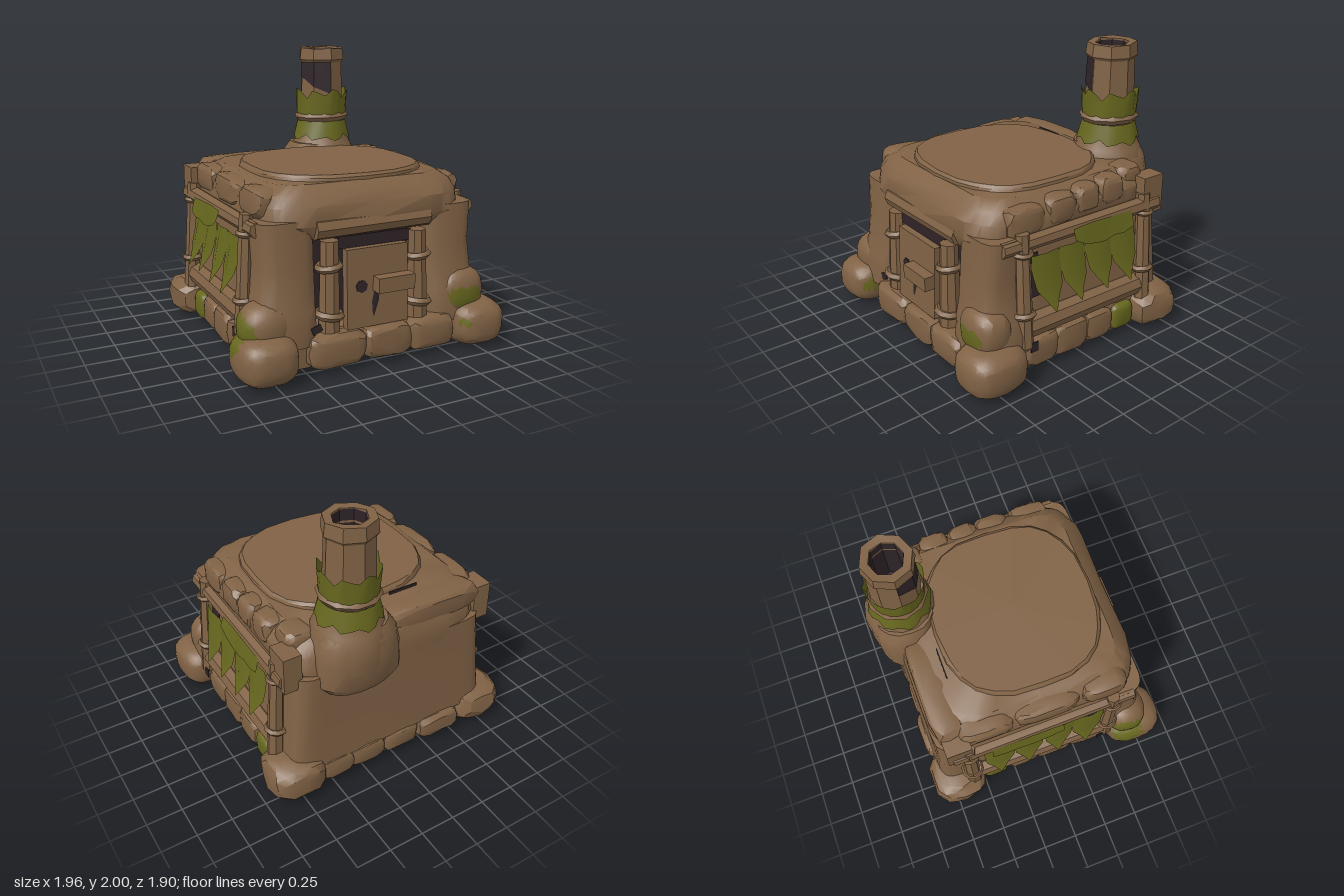
import * as THREE from 'three';
import { toCreasedNormals } from 'three/addons/utils/BufferGeometryUtils.js';

const mat = (name, color, side = THREE.FrontSide) => {
  const m = new THREE.MeshStandardMaterial({ color, side });
  m.name = name;
  return m;
};

export function createModel() {
  const clay = mat('clay brown', 0x806245);
  const moss = mat('moss green', 0x67671f, THREE.DoubleSide);
  const dark = mat('dark interior', 0x2f2428, THREE.DoubleSide);
  const root = new THREE.Group();
  root.name = 'clayHut';

  const add = (name, geo, material, x = 0, y = 0, z = 0, crease = 0.55) => {
    const mesh = new THREE.Mesh(toCreasedNormals(geo, crease), material);
    mesh.name = name;
    mesh.position.set(x, y, z);
    root.add(mesh);
    return mesh;
  };
  const noise = (x, y, z) => {
    const s = Math.sin(Math.round(x * 100) * 12.99 + Math.round(y * 100) * 78.23 + Math.round(z * 100) * 37.72) * 4375.85;
    return s - Math.floor(s) - 0.5;
  };
  const pow = (v, e) => Math.sign(v) * Math.abs(v) ** e;

  // Rounded-square loft; each section is [y, halfX, zBack, zFront, shiftX]
  const loft = (sections, n = 5, seg = 40, cx = 0, rough = 0.012) => {
    const pos = [], idx = [];
    sections.forEach(([y, hx, zb, zf, dx = 0]) => {
      for (let i = 0; i < seg; i++) {
        const a = i / seg * Math.PI * 2, c = Math.cos(a), s = Math.sin(a);
        const k = 1 + noise(c + cx, y, s) * rough * 2;
        pos.push(cx + dx + hx * pow(c, 2 / n) * k, y, (zb + zf) / 2 + (zf - zb) / 2 * pow(s, 2 / n) * k);
      }
    });
    const last = sections.length - 1;
    for (let r = 0; r < last; r++) for (let i = 0; i < seg; i++) {
      const j = (i + 1) % seg, a = r * seg + i, b = r * seg + j;
      idx.push(a, a + seg, b, b, a + seg, b + seg);
    }
    [0, last].forEach((r) => {
      const [y, , zb, zf, dx = 0] = sections[r], c = pos.length / 3;
      pos.push(cx + dx, y, (zb + zf) / 2);
      for (let i = 0; i < seg; i++) {
        const a = r * seg + i, b = r * seg + (i + 1) % seg;
        idx.push(c, ...(r ? [b, a] : [a, b]));
      }
    });
    const g = new THREE.BufferGeometry();
    g.setAttribute('position', new THREE.Float32BufferAttribute(pos, 3));
    g.setIndex(idx);
    return g;
  };

  // Faceted boulder; faces inside any ellipsoid [x, y, z, rx, ry, rz] turn green
  const rock = (name, x, y, z, w, h, d, patches = [], boxy = 0.7) => {
    const g = new THREE.IcosahedronGeometry(1, patches.length ? 4 : 2), p = g.attributes.position;
    const rough = patches.length ? 0.03 : 0.1;
    for (let i = 0; i < p.count; i++) {
      const a = p.getX(i), b = p.getY(i), c = p.getZ(i);
      const k = 1 + rough * noise(a + x * 3, b + y, c + z * 3);
      const f = (v) => Math.max(-1, Math.min(1, pow(v, boxy) * k));
      p.setXYZ(i, f(a) * w / 2, f(b) * h / 2, f(c) * d / 2);
    }
    const mesh = add(name, g, patches.length ? [clay, moss] : clay, x, y, z, 0.4);
    if (!patches.length) return;
    const q = mesh.geometry.attributes.position;
    for (let i = 0; i < q.count; i += 3) {
      const m = new THREE.Vector3();
      for (let j = 0; j < 3; j++) m.add(new THREE.Vector3().fromBufferAttribute(q, i + j));
      m.divideScalar(3).add(mesh.position);
      const green = patches.some(([px, py, pz, rx, ry, rz]) => Math.hypot((m.x - px) / rx, (m.y - py) / ry, (m.z - pz) / rz) < 1);
      mesh.geometry.addGroup(i, 3, green ? 1 : 0);
    }
  };

  // Wooden pole between two points
  const pole = (name, a, b, r0, r1 = r0, sides = 7) => {
    const p = new THREE.Vector3(...a), q = new THREE.Vector3(...b), d = q.clone().sub(p);
    const m = add(name, new THREE.CylinderGeometry(r1, r0, d.length(), sides), clay);
    m.position.copy(p).lerp(q, 0.5);
    m.quaternion.setFromUnitVectors(new THREE.Vector3(0, 1, 0), d.normalize());
  };
  const box = (name, w, h, d, x, y, z, material = clay) => add(name, new THREE.BoxGeometry(w, h, d), material, x, y, z);
  const ring = (name, r, t, x, y, z, tilt = 0) => {
    const m = add(name, new THREE.TorusGeometry(r, t, 5, 10), clay, x, y, z);
    m.rotation.set(Math.PI / 2, tilt, 0);
  };

  // Main masses
  add('foundation', loft([[0.04, 0.8, -0.78, 0.76], [0.22, 0.8, -0.81, 0.78], [0.27, 0.78, -0.8, 0.74]], 8), clay);
  add('wallCore', loft([[0.2, 0.8, -0.82, 0.5], [0.55, 0.765, -0.8, 0.5], [0.95, 0.73, -0.79, 0.5]], 14, 48, 0, 0.004), clay);
  add('eaves', loft([[0.87, 0.7, -0.79, 0.72], [0.96, 0.76, -0.79, 0.755], [1.08, 0.755, -0.77, 0.74],
    [1.15, 0.72, -0.72, 0.69], [1.205, 0.64, -0.62, 0.62]], 6), clay);
  add('roofSlab', loft([[1.15, 0.62, -0.55, 0.63], [1.225, 0.605, -0.53, 0.615], [1.243, 0.585, -0.515, 0.595]], 2.7, 24, 0.01), clay);

  // Doorway
  box('doorwayShadow', 0.82, 0.64, 0.008, 0, 0.56, 0.51, dark);
  box('lintelShadow', 0.54, 0.08, 0.008, 0.01, 0.83, 0.725, dark);
  pole('lintel', [-0.42, 0.935, 0.7], [0.42, 0.94, 0.7], 0.075, 0.07, 8);
  const door = box('door', 0.45, 0.53, 0.06, 0, 0.525, 0.76);
  door.rotation.x = -0.04;
  box('doorLatch', 0.27, 0.1, 0.08, 0.1, 0.55, 0.83);
  const hole = add('doorHole', new THREE.CylinderGeometry(0.043, 0.043, 0.008, 7), dark, -0.12, 0.54, 0.792);
  hole.rotation.x = Math.PI / 2 - 0.04;
  const slit = add('doorSlit', new THREE.CylinderGeometry(0.02, 0.03, 0.18, 4), dark, -0.02, 0.42, 0.794);
  slit.rotation.z = -0.15;
  slit.scale.z = 0.15;
  box('pillarHole', 0.07, 0.05, 0.008, -0.445, 0.305, 0.8, dark).rotation.z = 0.4;

  for (const s of [1, -1]) {
    // Front pillars, boulders and door posts
    add('frontPillar', loft([[0.2, 0.23, 0.4, 0.82, s * 0.03], [0.33, 0.23, 0.4, 0.815, s * 0.03], [0.43, 0.215, 0.4, 0.8, s * 0.015],
      [0.52, 0.2, 0.4, 0.775], [0.72, 0.19, 0.4, 0.755, -s * 0.01], [1.0, 0.2, 0.4, 0.735]], 3.2, 20, s * 0.6), clay);
    rock('frontCorner', s * 0.78, 0.16, 0.73, 0.4, 0.32, 0.44, s < 0
      ? [[-0.56, 0.18, 0.84, 0.065, 0.055, 0.14], [-0.98, 0.27, 0.62, 0.12, 0.12, 0.14]]
      : [[0.62, 0.2, 0.93, 0.04, 0.02, 0.1]]);
    if (s < 0) rock('frontUpperBoulder', -0.75, 0.34, 0.67, 0.36, 0.34, 0.32, [[-0.92, 0.33, 0.65, 0.15, 0.11, 0.18]], 0.9);
    else rock('frontUpperBoulder', 0.68, 0.38, 0.7, 0.36, 0.34, 0.28, [[0.66, 0.365, 0.84, 0.14, 0.065, 0.14]], 0.8);
    rock('backCorner', s * 0.745, 0.145, -0.69, 0.42, 0.29, 0.41);
    pole('doorPost', [s * 0.33, 0.26, 0.74], [s * 0.325, 0.86, 0.73], 0.075, 0.062, 8);
    ring('doorPostBinding', 0.07, 0.026, s * 0.33, 0.69, 0.735, 0.12);
    ring('doorPostBinding', 0.078, 0.028, s * 0.33, 0.37, 0.74, -0.12);

    // Side frame
    for (const z of [0.49, -0.58]) {
      pole('sidePost', [s * 0.825, 0.24, z], [s * 0.785, 1.03, z], 0.06, 0.048);
      ring('sideBinding', 0.06, 0.024, s * 0.81, 0.47, z, 0.1);
      ring('sideBinding', 0.055, 0.02, s * 0.79, 0.9, z, -0.1);
    }
    pole('sideTopBeam', [s * 0.78, 0.955, 0.65], [s * 0.78, 0.94, -0.7], 0.05, 0.06);
    box('beamEnd', 0.13, 0.27, 0.18, s * 0.75, 1.01, -0.645);
    pole('sideLowerBeam', [s * 0.785, 0.355, 0.46], [s * 0.785, 0.34, -0.56], 0.085, 0.08, 8);
    box('sideGap', 0.008, 0.3, 0.1, s * 0.775, 0.7, 0.39, dark).rotation.z = s * 0.1;
    box('sideGap', 0.008, 0.14, 0.06, s * 0.77, 0.72, -0.02, dark).rotation.z = s * 0.1;
    box('lowerGap', 0.008, 0.07, 0.06, s * 0.868, 0.235, 0.445, dark);

    // Moss draped over the outer face of the beam, with hanging leaves
    const drape = new THREE.PlaneGeometry(1, 1, 6, 1), dp = drape.attributes.position;
    for (let i = 0; i < dp.count; i++) {
      const u = dp.getX(i), isTop = dp.getY(i) > 0;
      const low = 0.825 + [0.07, 0.02, 0, -0.01, 0.01, 0, 0.03][i % 7];
      dp.setXYZ(i, s * (isTop ? 0.835 : 0.86), isTop ? 0.975 - 0.03 * Math.abs(u + 0.2) : low, -0.16 - u * 0.53);
    }
    add('beamMoss', drape, moss);
    [[0.32, 0.25, 0.46], [0.1, 0.23, 0.47], [-0.13, 0.24, 0.48], [-0.35, 0.25, 0.47]].forEach(([z, w, tip]) => {
      const g = new THREE.PlaneGeometry(1, 1, 2, 5), p = g.attributes.position;
      const widths = [0.88, 1, 0.92, 0.85, 0.42, 0.04];
      for (let i = 0; i < p.count; i++) {
        const row = Math.floor(i / 3), t = row / 5, u = p.getX(i);
        const x = 0.81 + 0.095 * t * t + (u === 0 ? 0.028 * Math.sin(Math.PI * Math.min(1, t + 0.15)) : 0);
        p.setXYZ(i, s * x, 0.86 + (tip - 0.86) * t, z + u * w * widths[row] - 0.03 * t);
      }
      add('hangingLeaf', g, moss);
    });

    // Foundation stones along the side
    [[0.34, 0.3], [0.08, 0.3], [-0.17, 0.26]].forEach(([z, d], i) =>
      rock('sideStone', s * 0.765, 0.15, z, 0.17, 0.21 + 0.02 * (i % 2), d, [], 0.5));
    rock('mossyStone', s * 0.765, 0.14, -0.4, 0.17, 0.2, 0.2, [[s * 0.85, 0.14, -0.4, 0.12, 0.13, 0.13]], 0.5);
  }

  // Foundation stones, front and back
  [[-0.3, 0.42], [0.07, 0.36], [0.4, 0.36]].forEach(([x, w], i) =>
    rock('frontStone', x, 0.15, 0.765, w, 0.23 - 0.01 * (i % 2), 0.2, [], 0.5));
  [[-0.38, 0.36], [-0.06, 0.3], [0.22, 0.3], [0.46, 0.26]].forEach(([x, w], i) =>
    rock('backStone', x, 0.13, -0.77, w, 0.18, i ? 0.14 : 0.2, [], 0.55));

  // Stones along the eaves
  [[-0.31, 0.22], [-0.09, 0.22], [0.13, 0.25], [0.42, 0.3]].forEach(([z, d], i) =>
    rock('eavesStone', 0.68, 1.105 - 0.01 * i, z, 0.2, 0.2, d, [], 0.55));
  rock('chimneySideStone', 0.62, 1.12, -0.53, 0.22, 0.2, 0.23, [], 0.6);
  [[-0.42, 0.4], [0.02, 0.5], [0.44, 0.34]].forEach(([z, d]) => rock('eavesStone', -0.68, 1.09, z, 0.19, 0.2, d, [], 0.55));
  rock('roofBackStone', -0.33, 1.11, -0.66, 0.8, 0.2, 0.24, [], 0.6);
  box('roofCrack', 0.22, 0.04, 0.008, -0.2, 1.205, -0.555, dark);

  // Chimney and its shoulder on the back wall
  const cx = 0.31, cz = -0.68;
  const lathe = (name, pts, sides) =>
    add(name, new THREE.LatheGeometry(pts.map((p) => new THREE.Vector2(...p)), sides), clay, cx, 0, cz);
  add('chimneyShoulder', loft([[0.8, 0.25, -0.89, -0.6], [0.87, 0.31, -0.925, -0.55], [1.05, 0.31, -0.935, -0.5],
    [1.18, 0.28, -0.925, -0.48], [1.26, 0.23, -0.89, -0.47]], 2.4, 18, 0.29), clay);
  lathe('chimneyBase', [[0, 0.86], [0.24, 0.87], [0.27, 1.02], [0.265, 1.17], [0.235, 1.25], [0.205, 1.3], [0.18, 1.42], [0, 1.43]], 14);
  add('chimneyShaft', new THREE.CylinderGeometry(0.162, 0.18, 0.52, 8, 1, true), clay, cx, 1.64, cz);
  const breach = new THREE.CylinderGeometry(0.166, 0.177, 0.25, 2, 1, true, -Math.PI / 2, Math.PI / 2);
  breach.attributes.position.setY(3, 0.01);
  breach.attributes.position.setY(4, -0.07);
  add('chimneyBreach', breach, dark, cx, 1.765, cz);
  add('chimneyLining', new THREE.CylinderGeometry(0.112, 0.13, 0.48, 8, 1, true), dark, cx, 1.735, cz);
  add('chimneyFloor', new THREE.CylinderGeometry(0.13, 0.13, 0.008, 8), dark, cx, 1.5, cz);
  const cap = new THREE.LatheGeometry([[0.12, 1.885], [0.168, 1.88], [0.182, 1.9], [0.172, 1.99], [0.115, 1.985], [0.115, 1.88]]
    .map((p) => new THREE.Vector2(...p)), 8);
  const cp = cap.attributes.position;
  for (let i = 0; i < cp.count; i++) if (cp.getY(i) > 1.95) cp.setY(i, cp.getY(i) + 0.02 * noise(cp.getX(i), 0, cp.getZ(i)));
  add('chimneyCap', cap, clay, cx, 0, cz);
  ring('chimneyBand', 0.18, 0.035, cx, 1.462, cz, 0.03);

  // Leaf skirts around the chimney: ragged on one edge
  const skirt = (y0, y1, r0, r1, raggedTop) => {
    const g = new THREE.CylinderGeometry(r1, r0, y1 - y0, 24, 1, true), p = g.attributes.position;
    for (let i = 0; i < p.count; i++) {
      const isTop = p.getY(i) > 0, k = (i % 25) % 24;
      if (isTop !== raggedTop) continue;
      const cut = [0, 0.02, 0.075, 0.01, 0.03, 0.05][k % 6], out = 1 + (0.05 - cut) * 1.2;
      p.setXYZ(i, p.getX(i) * out, p.getY(i) + (isTop ? -cut : cut * 0.6), p.getZ(i) * out);
    }
    add('chimneyLeaves', g, moss, cx, (y0 + y1) / 2, cz, 0.4);
  };
  skirt(1.48, 1.68, 0.193, 0.197, true);
  skirt(1.28, 1.43, 0.216, 0.187, false);

  return root;
}
